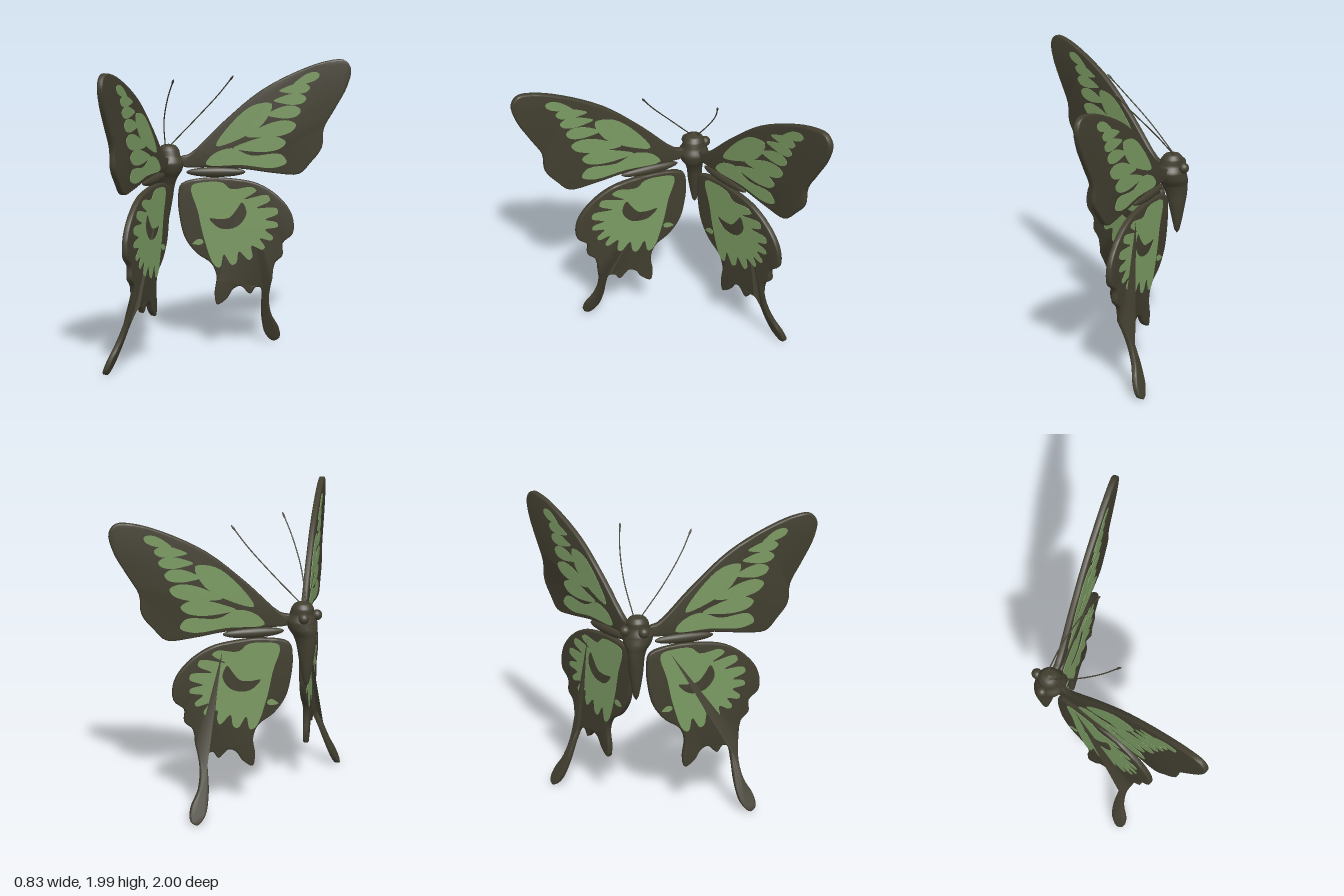
import * as THREE from 'three';
import { toCreasedNormals } from 'three/addons/utils/BufferGeometryUtils.js';
import { ParametricGeometry } from 'three/addons/geometries/ParametricGeometry.js';

const dark = new THREE.MeshStandardMaterial({ color: 0x423f30 });
dark.name = 'darkBrown';
const green = new THREE.MeshStandardMaterial({ color: 0x7a9962 });
green.name = 'leafGreen';

// Wing profiles as [distance from the body, height]
const FOREWING = [[.06, 1.34], [.11, 1.36], [.29, 1.57], [.5, 1.785], [.72, 1.925], [.87, 1.985], [.955, 1.99], [.993, 1.935],
  [.975, 1.815], [.91, 1.665], [.85, 1.53], [.84, 1.4], [.78, 1.3], [.715, 1.222], [.58, 1.228], [.42, 1.255], [.26, 1.27], [.06, 1.28]];
const HINDWING = [[.065, 1.157], [.19, 1.195], [.35, 1.19], [.49, 1.155], [.61, 1.06], [.68, .94], [.685, .81], [.63, .745],
  [.63, .66], [.585, .6], [.585, .38], [.635, .22], [.705, .11], [.727, .03], [.70, .005], [.64, .06], [.585, .195],
  [.545, .355], [.515, .43], [.48, .435], [.45, .39], [.395, .445], [.355, .425], [.32, .36], [.265, .315], [.25, .39],
  [.26, .515], [.23, .605], [.15, .675], [.085, .78], [.055, .915], [.045, 1.065]];

// Green cells
const FORE_CELL = [[.56, 1.70], [.46, 1.69], [.34, 1.57], [.255, 1.415], [.37, 1.455], [.51, 1.56]];
const FORE_BASE = [[.61, 1.36], [.645, 1.3], [.57, 1.265], [.4, 1.285], [.2, 1.29], [.24, 1.36], [.34, 1.4], [.45, 1.35]];
const FORE_LOBES = [ // outer end, inner end, width
  [.82, 1.9, .68, 1.83, .06], [.77, 1.81, .6, 1.785, .07], [.75, 1.735, .57, 1.72, .075],
  [.72, 1.655, .53, 1.625, .085], [.695, 1.56, .42, 1.48, .1], [.64, 1.44, .35, 1.4, .1]];
const HIND_PATCH = [[.12, 1.145], [.155, .97], [.19, .78], [.25, .59], [.28, .58], [.3, .67], [.345, .595], [.37, .61],
  [.385, .69], [.44, .63], [.46, .65], [.455, .73], [.515, .7], [.53, .72], [.5, .78], [.565, .765], [.575, .79],
  [.53, .84], [.6, .86], [.595, .89], [.53, .91], [.6, .95], [.59, .99], [.48, .99], [.555, 1.04], [.54, 1.08],
  [.41, 1.05], [.48, 1.11], [.45, 1.135], [.34, 1.12], [.29, 1.165], [.2, 1.17]];
const CRESCENT = [[.4, 1.03], [.425, .95], [.37, .86], [.28, .85], [.22, .92], [.275, .915], [.33, .925], [.37, .98]];

function curvePoints(points, side, count = points.length * 4) {
  const curve = new THREE.CatmullRomCurve3(points.map(([u, y]) => new THREE.Vector3(u * side, y, 0)), true);
  return curve.getPoints(count).slice(0, -1).map(p => new THREE.Vector2(p.x, p.y));
}

// Teardrop cell, rounded outside and narrow towards the body
function lobe([u0, y0, u1, y1, w]) {
  const dx = u1 - u0, dy = y1 - y0, l = Math.hypot(dx, dy);
  return [[0, 0], [.12, .38], [.4, .5], [.75, .3], [1, 0], [.75, -.3], [.4, -.5], [.12, -.38]]
    .map(([t, s]) => [u0 + dx * t - dy / l * w * s, y0 + dy * t + dx / l * w * s]);
}

// Swing a flat wing shape into its slanted plane and curl the tail forward
function placeOnWing(geometry, side) {
  const p = geometry.attributes.position;
  for (let i = 0; i < p.count; i++) {
    const s = p.getX(i), y = p.getY(i), w = p.getZ(i), u = s * side;
    const curl = -.45 * Math.max(0, .5 - y) * THREE.MathUtils.smoothstep(u, .47, .56);
    p.setXYZ(i, -.29 + .7 * u - .82 * w + curl, y, s + .573 * side * w);
  }
  return toCreasedNormals(geometry, .7);
}

function addMesh(parent, name, geometry, material) {
  const mesh = new THREE.Mesh(geometry, material);
  mesh.name = name;
  parent.add(mesh);
  return mesh;
}

function wing(name, outline, side, patches) {
  const group = new THREE.Group();
  group.name = name;
  const membrane = new THREE.ExtrudeGeometry(new THREE.Shape(curvePoints(outline, side)), {
    depth: .02, bevelThickness: .01, bevelSize: .01, bevelOffset: -.01, bevelSegments: 3 });
  membrane.translate(0, 0, -.01);
  addMesh(group, name + 'Membrane', placeOnWing(membrane, side), dark);
  // Thin green plates on both faces
  for (const { points, hole } of patches) {
    const shape = new THREE.Shape(curvePoints(points, side));
    if (hole) shape.holes.push(new THREE.Path(curvePoints(hole, side)));
    for (const w of [-.023, .018]) {
      const plate = new THREE.ExtrudeGeometry(shape, { depth: .005, bevelEnabled: false });
      plate.translate(0, 0, w);
      addMesh(group, name + 'Cell', placeOnWing(plate, side), green);
    }
  }
  return group;
}

// Body cross-sections: height, centre x, radius in x, radius in z
const BODY = [[.86, -.34, .001, .001], [.885, -.34, .017, .016], [.95, -.34, .032, .03], [1.05, -.338, .052, .045],
  [1.15, -.333, .072, .052], [1.2, -.322, .085, .062], [1.25, -.307, .1, .09], [1.3, -.295, .1, .1],
  [1.35, -.298, .08, .074], [1.385, -.303, .073, .07], [1.415, -.305, .05, .05], [1.427, -.305, .001, .001]];

function bodyGeometry() {
  const centre = new THREE.CatmullRomCurve3(BODY.map(([y, x]) => new THREE.Vector3(x, y, 0)));
  const radii = new THREE.CatmullRomCurve3(BODY.map(b => new THREE.Vector3(b[2], b[3], 0)));
  const c = new THREE.Vector3(), r = new THREE.Vector3();
  return new ParametricGeometry((u, v, target) => {
    centre.getPoint(v, c);
    radii.getPoint(v, r);
    const a = u * Math.PI * 2;
    target.set(c.x + r.x * Math.cos(a), c.y, -r.y * Math.sin(a));
  }, 32, 55);
}

export function createModel() {
  const model = new THREE.Group();
  model.name = 'butterfly';
  addMesh(model, 'body', bodyGeometry(), dark);

  const forePatches = [FORE_CELL, FORE_BASE, ...FORE_LOBES.map(lobe)].map(points => ({ points }));
  const hindPatches = [
    { points: HIND_PATCH, hole: CRESCENT },
    { points: lobe([.185, .765, .125, .745, .04]) }];

  for (const side of [1, -1]) {
    const label = side > 0 ? 'left' : 'right';
    model.add(wing(label + 'Forewing', FOREWING, side, forePatches));
    model.add(wing(label + 'Hindwing', HINDWING, side, hindPatches));

    // Slender lobe between the two wings
    const fold = addMesh(model, label + 'WingFold', new THREE.SphereGeometry(1, 24, 16), dark);
    fold.scale.set(.2, .034, .03);
    fold.position.set(-.29 + .7 * .255, 1.235, .255 * side);
    fold.rotation.y = -side * .96;

    const eye = addMesh(model, label + 'Eye', new THREE.SphereGeometry(.035, 20, 14), dark);
    eye.position.set(-.37, 1.338, .062 * side);

    // Antenna with a small club
    const path = new THREE.CatmullRomCurve3([[-.32, 1.405, .015], [-.17, 1.6, .13], [-.02, 1.77, .205], [.095, 1.9, .24]]
      .map(([x, y, z]) => new THREE.Vector3(x, y, z * side)));
    addMesh(model, label + 'Antenna', new THREE.TubeGeometry(path, 32, .004, 8), dark);
    const club = addMesh(model, label + 'AntennaClub', new THREE.SphereGeometry(1, 12, 8), dark);
    club.scale.set(.007, .025, .007);
    club.position.copy(path.getPoint(.96));
    club.quaternion.setFromUnitVectors(new THREE.Vector3(0, 1, 0), path.getTangent(.96));
  }
  return model;
}
